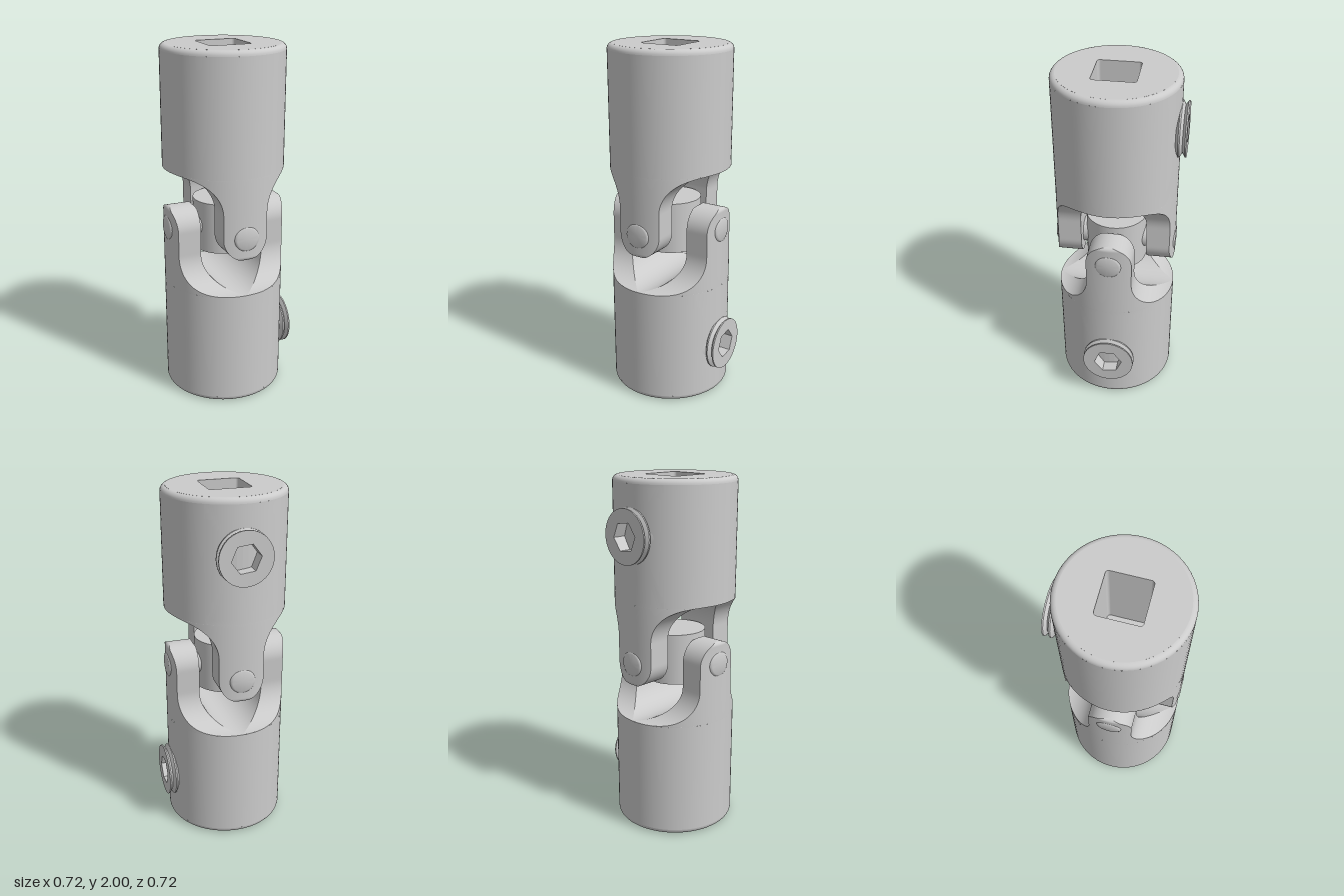
import * as THREE from 'three';
import { toCreasedNormals } from 'three/addons/utils/BufferGeometryUtils.js';

const R = 0.34;          // body radius
const FORK_TOP = 0.335;  // where the fork meets the solid body
const PRONG_W = 0.127;   // half width and end radius of a prong
const SLOT = 0.185;      // half width and arch radius of the fork slot
const SCREW_Y = 0.7;
const material = new THREE.MeshStandardMaterial({ color: 0xcccccc });

function add(parent, name, geometry) {
  const mesh = new THREE.Mesh(geometry, material);
  mesh.name = name;
  parent.add(mesh);
  return mesh;
}

// Grid surface from a rule (u, v) -> [x, y, z]
function surface(rule, nu, nv) {
  const g = new THREE.PlaneGeometry(1, 1, nu, nv);
  const p = g.attributes.position;
  for (let i = 0; i < p.count; i++) p.setXYZ(i, ...rule(p.getX(i) + 0.5, p.getY(i) + 0.5));
  g.computeVertexNormals();
  return g;
}

const lathe = (pts, seg = 64, start = 0, length = Math.PI * 2) =>
  new THREE.LatheGeometry(pts.map(([r, y]) => new THREE.Vector2(r, y)), seg, start, length);

const root = (v) => Math.sqrt(Math.max(0, v));

// Cross-section of one prong at height y: half width, inner and outer depth
function section(y) {
  let w = PRONG_W;
  if (y < 0) w = root(PRONG_W ** 2 - y * y);
  else if (y > 0.135) w = R - 0.213 * root(1 - ((y - 0.135) / 0.2) ** 2);
  const f = 0.022;
  const d = Math.max(0, f - PRONG_W - y);
  const fillet = f - root(f * f - d * d);
  const inner = (y > 0.15 ? root(SLOT ** 2 - (y - 0.15) ** 2) : SLOT) + fillet;
  w = Math.min(w, root(R * R - inner * inner));
  return { w, inner, outer: (x) => Math.max(inner, root(R * R - x * x) - fillet) };
}

function makeProng() {
  const prong = new THREE.Group();
  prong.name = 'prong';
  const mid = (FORK_TOP - PRONG_W) / 2, half = (FORK_TOP + PRONG_W) / 2;
  const face = (name, nu, rule) => add(prong, name, surface((u, v) => {
    const y = mid - half * Math.cos(Math.PI * v);
    const [x, z] = rule(section(y), u);
    return [x, y, z];
  }, nu, 72));
  face('prongOuterFace', 32, (s, u) => {
    const x = s.w * Math.sin((u - 0.5) * Math.PI);
    return [x, s.outer(x)];
  });
  face('prongInnerFace', 4, (s, u) => [s.w * (1 - 2 * u), s.inner]);
  face('prongLeftSide', 4, (s, u) => [s.w, THREE.MathUtils.lerp(s.outer(s.w), s.inner, u)]);
  face('prongRightSide', 4, (s, u) => [-s.w, THREE.MathUtils.lerp(s.inner, s.outer(s.w), u)]);
  return prong;
}

function polygonPath(n, r) {
  const pts = [];
  for (let i = 0; i < n; i++) {
    const a = (i / n) * Math.PI * 2 + 0.12;
    pts.push(new THREE.Vector2(r * Math.cos(a), r * Math.sin(a)));
  }
  return new THREE.Path(pts);
}

function roundedSquarePath(h, r) {
  const p = new THREE.Path();
  p.absarc(h - r, h - r, r, 0, Math.PI / 2);
  p.absarc(r - h, h - r, r, Math.PI / 2, Math.PI);
  p.absarc(r - h, r - h, r, Math.PI, Math.PI * 1.5);
  p.absarc(h - r, r - h, r, Math.PI * 1.5, Math.PI * 2);
  p.closePath();
  return p;
}

// Disc with a socket through it, running from z = -depth to z = 0
function socketDisc(radius, hole, depth) {
  const shape = new THREE.Shape().absarc(0, 0, radius, 0, Math.PI * 2);
  shape.holes.push(hole);
  return new THREE.ExtrudeGeometry(shape, { depth, bevelEnabled: false, curveSegments: 32 })
    .translate(0, 0, -depth);
}

// Threaded set screw with a hex socket, facing +z
function makeScrew() {
  const screw = new THREE.Group();
  screw.name = 'setScrew';
  const profile = [[0.12, -0.13]];
  for (const z of [-0.116, -0.08, -0.044]) {
    profile.push([0.126, z - 0.014], [0.15, z], [0.15, z + 0.008]);
  }
  profile.push([0.126, -0.022], [0.148, -0.008], [0.148, 0], [0.118, 0]);
  add(screw, 'screwThread', toCreasedNormals(lathe(profile, 48).rotateX(Math.PI / 2), 0.4));
  add(screw, 'screwSocket', socketDisc(0.12, polygonPath(6, 0.082), 0.12));
  add(screw, 'screwSocketFloor', new THREE.CircleGeometry(0.1, 24).translate(0, 0, -0.119));
  return screw;
}

// Half of the joint: body along +y, prongs on +z and -z, screw on -z
function makeYoke(name) {
  const yoke = new THREE.Group();
  yoke.name = name;
  const shoulder = 0.97, win = 0.6;

  // Body wall, leaving a window on the back for the screw hole
  add(yoke, 'bodyWall', lathe([[R, FORK_TOP], [R, shoulder]], 64, Math.PI + win, 2 * (Math.PI - win)));
  add(yoke, 'bodyWallAroundScrew', surface((u, v) => {
    const a = -u * Math.PI * 2, c = Math.cos(a), s = Math.sin(a);
    const m = Math.max(Math.abs(c), Math.abs(s));
    const t = THREE.MathUtils.lerp(0.13 * c / R, win * c / m, v);
    const y = THREE.MathUtils.lerp(SCREW_Y + 0.13 * s,
      (FORK_TOP + shoulder) / 2 + (shoulder - FORK_TOP) / 2 * s / m, v);
    return [R * Math.sin(Math.PI + t), y, R * Math.cos(Math.PI + t)];
  }, 64, 10));

  // Rounded end edge
  const edge = [];
  for (let i = 0; i <= 6; i++) {
    const a = (i / 6) * Math.PI / 2;
    edge.push([0.31 + 0.03 * Math.cos(a), shoulder + 0.03 * Math.sin(a)]);
  }
  add(yoke, 'bodyEdge', lathe(edge));

  // End face with a square drive socket
  add(yoke, 'driveSocket', socketDisc(0.312, roundedSquarePath(0.117, 0.016), 0.5)
    .rotateX(-Math.PI / 2).translate(0, 1, 0));
  add(yoke, 'driveSocketFloor', new THREE.PlaneGeometry(0.25, 0.25)
    .rotateX(-Math.PI / 2).translate(0, 0.502, 0));

  for (const turn of [0, Math.PI]) {
    const prong = makeProng();
    prong.rotation.y = turn;
    yoke.add(prong);
  }

  const screw = makeScrew();
  screw.position.set(0, SCREW_Y, -0.377);
  screw.rotation.y = Math.PI;
  yoke.add(screw);
  return yoke;
}

// Centre block with two crossing pins
function makeCross() {
  const cross = new THREE.Group();
  cross.name = 'cross';
  add(cross, 'centreBlock', new THREE.CylinderGeometry(0.172, 0.172, 0.288, 64));
  const r = 0.073, len = 0.343, f = 0.014;
  const pin = [[0, -len], [r - f, -len], [r - f * 0.3, -len + f * 0.3], [r, -len + f],
    [r, len - f], [r - f * 0.3, len - f * 0.3], [r - f, len], [0, len]];
  const pinGeometry = toCreasedNormals(lathe(pin, 40), 0.9);
  add(cross, 'frontBackPin', pinGeometry).rotation.x = Math.PI / 2;
  add(cross, 'sidePin', pinGeometry).rotation.z = Math.PI / 2;
  return cross;
}

export function createModel() {
  const model = new THREE.Group();
  model.name = 'universalJoint';
  const joint = new THREE.Group();
  joint.name = 'joint';
  joint.position.set(-0.018, 1, 0.018);
  const lower = makeYoke('lowerYoke');
  lower.rotation.set(0, -Math.PI / 2, Math.PI);
  joint.add(makeYoke('upperYoke'), lower, makeCross());
  model.add(joint);
  return model;
}
